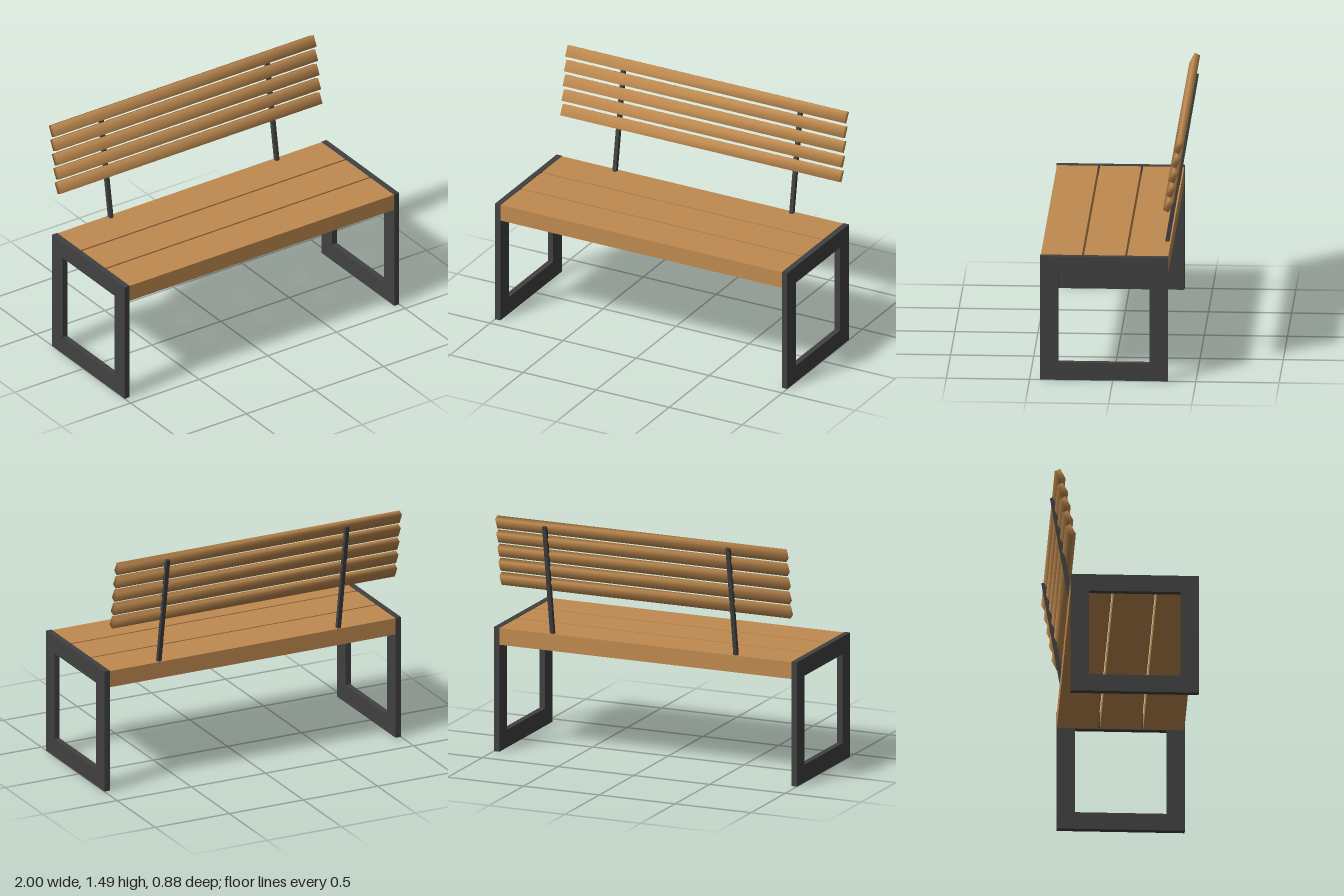
import * as THREE from 'three';
import { mergeVertices } from 'three/addons/utils/BufferGeometryUtils.js';

export function createModel() {
  const bench = new THREE.Group();
  bench.name = 'bench';

  const wood = new THREE.MeshStandardMaterial({ color: 0xc08b50 });
  wood.name = 'wood';
  const metal = new THREE.MeshStandardMaterial({ color: 0x414141 });
  metal.name = 'dark metal';

  const add = (name, geometry, material, x, y, z) => {
    const mesh = new THREE.Mesh(geometry, material);
    mesh.name = name;
    mesh.position.set(x, y, z);
    bench.add(mesh);
    return mesh;
  };

  // Box with shared corner normals, for softly shaded slats
  const softBox = (w, h, d) => {
    const box = new THREE.BoxGeometry(w, h, d);
    box.deleteAttribute('normal');
    box.deleteAttribute('uv');
    const soft = mergeVertices(box);
    soft.computeVertexNormals();
    return soft;
  };

  // Square end frames: a flat ring extruded, then turned to face sideways
  const outline = new THREE.Shape();
  outline.moveTo(-0.385, 0).lineTo(0.385, 0).lineTo(0.385, 0.772).lineTo(-0.385, 0.772).closePath();
  const opening = new THREE.Path();
  opening.moveTo(-0.275, 0.11).lineTo(-0.275, 0.663).lineTo(0.275, 0.663).lineTo(0.275, 0.11).closePath();
  outline.holes.push(opening);
  const frameGeometry = new THREE.ExtrudeGeometry(outline, { depth: 0.036, bevelEnabled: false });
  frameGeometry.translate(0, 0, -0.018).rotateY(Math.PI / 2);
  add('leftFrame', frameGeometry, metal, 0.982, 0, 0.053);
  add('rightFrame', frameGeometry, metal, -0.982, 0, 0.053);

  // Three thick seat planks with narrow gaps
  const plank = new THREE.BoxGeometry(1.928, 0.104, 0.247);
  for (let i = 0; i < 3; i++) {
    add('seatPlank' + (i + 1), plank, wood, 0, 0.717, 0.311 - i * 0.2595);
  }

  // Two leaning back posts
  const low = new THREE.Vector2(-0.308, 0.755);
  const high = new THREE.Vector2(-0.425, 1.461);
  const lean = Math.atan2(high.x - low.x, high.y - low.y);
  const post = new THREE.BoxGeometry(0.024, low.distanceTo(high), 0.026);
  for (const [name, x] of [['leftPost', 0.622], ['rightPost', -0.588]]) {
    add(name, post, metal, x, (low.y + high.y) / 2, (low.x + high.x) / 2).rotation.x = lean;
  }

  // Five tilted backrest slats following the lean of the posts
  const slat = softBox(1.908, 0.071, 0.037);
  for (let i = 0; i < 5; i++) {
    add('backSlat' + (i + 1), slat, wood, -0.005, 1.08 + i * 0.0915, -0.332 - i * 0.0155)
      .rotation.x = THREE.MathUtils.degToRad(-27);
  }

  return bench;
}
